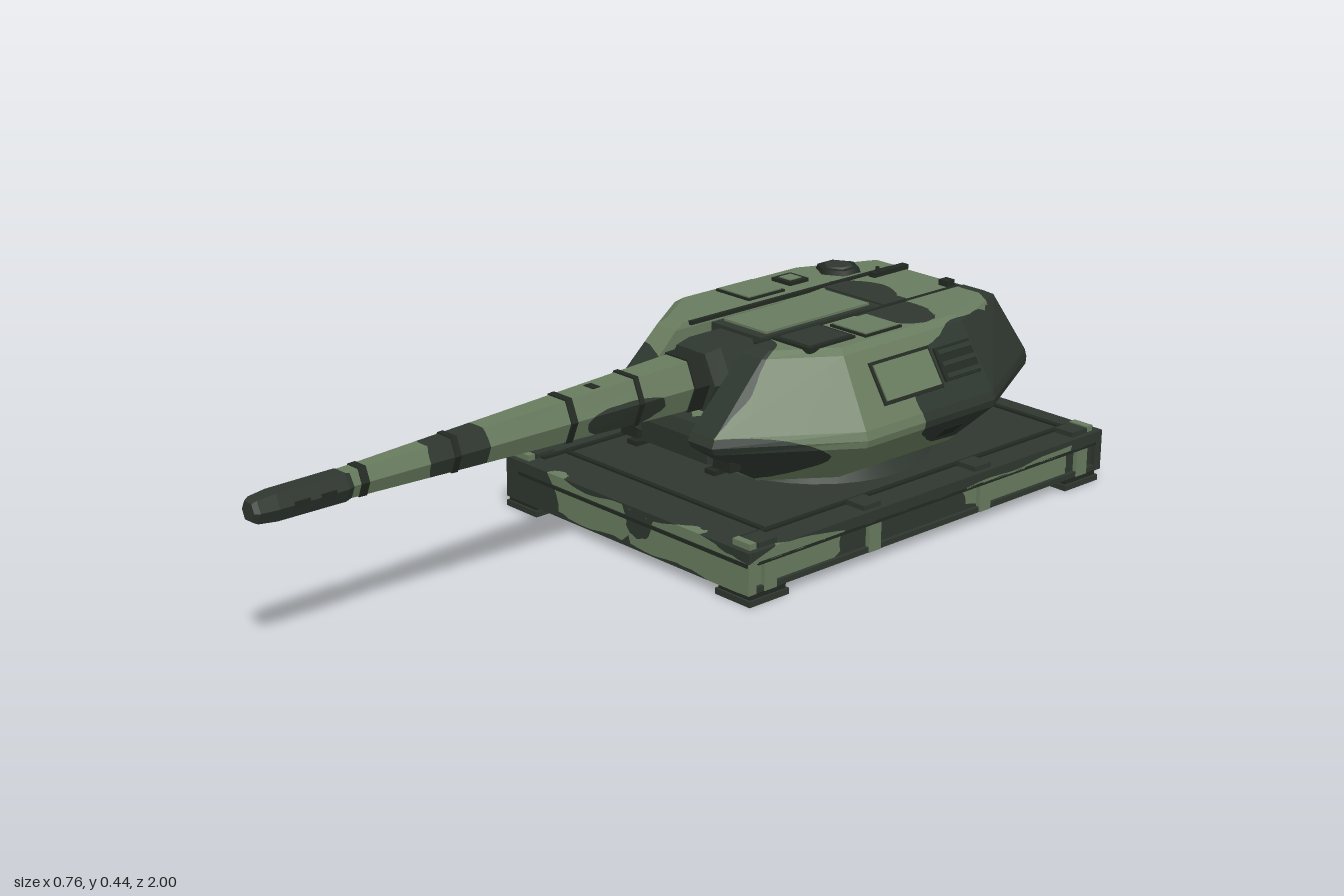
import * as THREE from 'three';

const light = new THREE.MeshStandardMaterial({ color: 0x687b5e });
light.name = 'light green';
const dark = new THREE.MeshStandardMaterial({ color: 0x2e372f });
dark.name = 'dark green';
const trim = new THREE.MeshStandardMaterial({ color: 0x222822 });
trim.name = 'near black trim';

// Camouflage patches as ellipsoids: x, y, z, rx, ry, rz
const turretDark = [
  [-0.16, 0.24, -0.05, 0.18, 0.15, 0.14], [0.11, 0.33, -0.1, 0.07, 0.17, 0.17],
  [0.24, 0.2, -0.04, 0.2, 0.075, 0.2], [0.36, 0.29, -0.7, 0.19, 0.17, 0.27],
  [0.14, 0.36, -0.93, 0.16, 0.2, 0.14], [0.12, 0.42, -0.56, 0.12, 0.05, 0.08],
  [-0.36, 0.25, -0.47, 0.14, 0.12, 0.15], [-0.28, 0.24, -0.86, 0.16, 0.16, 0.13],
  [-0.02, 0.42, -0.63, 0.09, 0.06, 0.07], [0.07, 0.23, -0.05, 0.06, 0.07, 0.1],
];
const barrelDark = [[0, 0.33, 0.53, 0.1, 0.08, 0.08], [0.07, 0.31, 0.12, 0.05, 0.05, 0.13]];
const baseDark = [
  [0, 0.14, -0.48, 0.6, 0.06, 0.7], [-0.4, 0.06, 0.1, 0.19, 0.12, 0.2], [0.4, 0.115, 0.1, 0.12, 0.025, 0.06],
  [0.38, 0.05, -0.36, 0.1, 0.1, 0.19], [0.3, 0.06, -1, 0.22, 0.12, 0.12], [-0.38, 0.06, -0.42, 0.1, 0.1, 0.2],
  [0, 0, -0.45, 0.7, 0.045, 0.75], [0.05, 0.075, 0.09, 0.04, 0.025, 0.03], [-0.2, 0.1, -1, 0.12, 0.04, 0.06],
];

function field(p, patches) {
  let best = -1e9;
  for (const [x, y, z, a, b, c] of patches) {
    best = Math.max(best, 1 - ((p.x - x) / a) ** 2 - ((p.y - y) / b) ** 2 - ((p.z - z) / c) ** 2);
  }
  return best + 0.12 * Math.sin(p.x * 31 + p.z * 23) * Math.cos(p.y * 37 - p.z * 13);
}

// Cuts a geometry along the patch outlines into a light and a dark group
function paint(name, source, patches) {
  const geo = source.index ? source.toNonIndexed() : source;
  const pos = geo.attributes.position;
  const sides = [[], []];
  const emit = (poly, k) => {
    for (let i = 1; i < poly.length - 1; i++) {
      for (const v of [poly[0], poly[i], poly[i + 1]]) sides[k].push(v.x, v.y, v.z);
    }
  };
  const split = (tri) => {
    const len = tri.map((v, i) => v.distanceTo(tri[(i + 1) % 3]));
    const m = len.indexOf(Math.max(...len));
    if (len[m] > 0.045) {
      const [a, b, c] = [tri[m], tri[(m + 1) % 3], tri[(m + 2) % 3]];
      const mid = a.clone().lerp(b, 0.5);
      split([a, mid, c]);
      split([mid, b, c]);
      return;
    }
    const f = tri.map((v) => field(v, patches));
    const parts = [[], []];
    tri.forEach((v, i) => {
      const j = (i + 1) % 3;
      parts[f[i] > 0 ? 1 : 0].push(v);
      if ((f[i] > 0) !== (f[j] > 0)) {
        const cut = v.clone().lerp(tri[j], f[i] / (f[i] - f[j]));
        parts[0].push(cut);
        parts[1].push(cut);
      }
    });
    parts.forEach(emit);
  };
  for (let i = 0; i < pos.count; i += 3) {
    split([0, 1, 2].map((k) => new THREE.Vector3().fromBufferAttribute(pos, i + k)));
  }
  const out = new THREE.BufferGeometry();
  out.setAttribute('position', new THREE.Float32BufferAttribute(sides[0].concat(sides[1]), 3));
  out.addGroup(0, sides[0].length / 3, 0);
  out.addGroup(sides[0].length / 3, sides[1].length / 3, 1);
  out.computeVertexNormals();
  const mesh = new THREE.Mesh(out, [light, dark]);
  mesh.name = name;
  return mesh;
}

// Closed flat-shaded loft through rings of [x, y, z]; winding is made outward
function loft(rings) {
  const tris = [], n = rings[0].length, last = rings.length - 1;
  for (let r = 0; r < last; r++) {
    for (let i = 0; i < n; i++) {
      const j = (i + 1) % n, [a, b, c, d] = [rings[r][i], rings[r][j], rings[r + 1][j], rings[r + 1][i]];
      tris.push([a, b, c], [a, c, d]);
    }
  }
  for (let i = 1; i < n - 1; i++) {
    tris.push([rings[0][0], rings[0][i + 1], rings[0][i]], [rings[last][0], rings[last][i], rings[last][i + 1]]);
  }
  const v = (p) => new THREE.Vector3(...p);
  const volume = tris.reduce((s, [a, b, c]) => s + v(a).dot(v(b).cross(v(c))), 0);
  if (volume < 0) tris.forEach((t) => t.reverse());
  const geo = new THREE.BufferGeometry();
  geo.setAttribute('position', new THREE.Float32BufferAttribute(tris.flat(2), 3));
  geo.computeVertexNormals();
  return geo;
}

const hexRing = ([z, y, w, h]) =>
  [[0.58, 1], [1, 0], [0.6, -1], [-0.6, -1], [-1, 0], [-0.58, 1]].map(([a, b]) => [a * w, y + b * h, z]);
const boxAt = (w, h, d, x, y, z) => new THREE.BoxGeometry(w, h, d).translate(x, y, z);

export function createModel() {
  const model = new THREE.Group();
  const add = (name, geo, mat, x = 0, y = 0, z = 0, rx = 0, rz = 0) => {
    const mesh = new THREE.Mesh(geo, mat);
    mesh.name = name;
    mesh.position.set(x, y, z);
    mesh.rotation.set(rx, 0, rz);
    model.add(mesh);
    return mesh;
  };
  const box = (name, mat, w, h, d, x, y, z, rx, rz) => add(name, new THREE.BoxGeometry(w, h, d), mat, x, y, z, rx, rz);

  // Platform with rails, posts, feet and deck fittings
  model.add(paint('platform', boxAt(0.735, 0.092, 1.08, 0, 0.069, -0.455), baseDark));
  for (const z of [0.08, -0.985]) {
    model.add(paint('endBeam', boxAt(0.755, 0.092, 0.022, 0, 0.069, z), baseDark));
    box('endRail', trim, 0.71, 0.008, 0.012, 0.02, 0.088, z + Math.sign(z) * 0.008);
  }
  for (const s of [-1, 1]) {
    model.add(paint('sideRail', boxAt(0.02, 0.026, 1.07, s * 0.369, 0.102, -0.455), baseDark));
    box('lowerSideRail', dark, 0.016, 0.012, 1.06, s * 0.368, 0.03, -0.455);
    box('rubRail', trim, 0.014, 0.007, 1.04, s * 0.372, 0.088, -0.455);
    for (const z of [0.03, -0.27, -0.61, -0.93]) {
      box('sidePost', light, 0.024, 0.066, 0.035, s * 0.366, 0.057, z);
      box('tieDown', dark, 0.05, 0.012, 0.05, s * 0.343, 0.12, z);
    }
    for (const z of [0.035, -0.93]) {
      box('foot', dark, 0.1, 0.013, 0.11, s * 0.33, 0.0065, z);
      box('footPad', trim, 0.09, 0.014, 0.1, s * 0.33, 0.018, z);
      box('cornerBracket', light, 0.05, 0.013, 0.018, s * 0.342, 0.122, z + Math.sign(z) * 0.035);
    }
    box('deckStrip', trim, 0.012, 0.006, 1.0, s * 0.31, 0.117, -0.455);
  }
  for (const z of [-0.02, -0.94]) box('deckCrossStrip', trim, 0.6, 0.006, 0.012, 0, 0.117, z);

  // Turret ring
  add('turretRing', new THREE.CylinderGeometry(0.235, 0.265, 0.03, 32), dark, 0, 0.128, -0.46);

  // Side pods: each level lists height, then x and z around the outside
  const levels = [
    [0.14, [0.1, -0.16, 0.14, -0.16, 0.24, -0.3, 0.24, -0.64, 0.16, -0.77, 0.1, -0.77]],
    [0.24, [0.1, -0.01, 0.17, -0.01, 0.346, -0.27, 0.346, -0.66, 0.2, -0.935, 0.1, -0.935]],
    [0.256, [0.1, 0, 0.172, 0, 0.35, -0.27, 0.35, -0.66, 0.2, -0.937, 0.1, -0.937]],
    [0.275, [0.1, -0.01, 0.17, -0.01, 0.344, -0.27, 0.344, -0.66, 0.2, -0.93, 0.1, -0.93]],
    [0.412, [0.1, -0.15, 0.16, -0.15, 0.256, -0.29, 0.256, -0.65, 0.17, -0.85, 0.1, -0.85]],
    [0.424, [0.104, -0.175, 0.155, -0.175, 0.238, -0.3, 0.238, -0.645, 0.16, -0.825, 0.104, -0.825]],
  ];
  for (const s of [-1, 1]) {
    const rings = levels.map(([y, p]) => [0, 2, 4, 6, 8, 10].map((i) => [s * p[i], y, p[i + 1]]));
    model.add(paint(s > 0 ? 'leftTurretPod' : 'rightTurretPod', loft(rings), turretDark));
    box('headlight', trim, 0.052, 0.022, 0.03, s * 0.143, 0.2, -0.07);
    box('lowerStep', trim, 0.03, 0.01, 0.07, s * 0.12, 0.182, -0.078);

    // Panels on the sloping sides
    const slope = s * 0.58;
    box('sidePanelFrame', trim, 0.008, 0.095, 0.18, s * 0.297, 0.347, -0.435, 0, slope);
    box('sidePanel', s > 0 ? light : dark, 0.008, 0.08, 0.165, s * 0.3, 0.349, -0.435, 0, slope);
    box('sideVent', trim, 0.01, 0.075, 0.11, s * 0.298, 0.347, -0.59, 0, slope);
    for (const k of [-1, 0, 1]) {
      box('ventSlat', dark, 0.006, 0.01, 0.1, s * (0.304 - k * 0.015), 0.35 + k * 0.022, -0.59, 0, slope);
    }
    box('lowerSideBox', trim, 0.025, 0.04, 0.06, s * 0.287, 0.2, -0.58, 0, -s * 0.8);

    // Roof panels
    box('roofPanelFrame', trim, 0.104, 0.006, 0.11, s * 0.175, 0.426, -0.44);
    box('roofPanel', light, 0.094, 0.007, 0.1, s * 0.175, 0.428, -0.44);
  }

  // Hull between the pods, with the gun slot in front
  const core = [[0.14, -0.16, -0.77], [0.18, -0.1, -0.85], [0.19, -0.055, -0.86], [0.24, -0.05, -0.935],
    [0.268, -0.06, -0.933], [0.272, -0.3, -0.93], [0.4, -0.32, -0.86], [0.42, -0.58, -0.83]];
  model.add(paint('centreHull', loft(core.map(([y, f, b]) =>
    [[-0.1, y, f], [0.1, y, f], [0.1, y, b], [-0.1, y, b]])), turretDark));
  box('frontSeam', trim, 0.19, 0.008, 0.01, 0, 0.181, -0.095);
  for (const s of [-1, 1]) box('slotEdge', trim, 0.01, 0.008, 0.62, s * 0.1, 0.421, -0.5);

  // Roof fittings
  box('gunCoverFrame', dark, 0.15, 0.02, 0.35, 0, 0.411, -0.405);
  box('gunCover', light, 0.128, 0.016, 0.31, 0, 0.418, -0.41);
  box('rearRoofPlate', dark, 0.18, 0.008, 0.07, 0, 0.42, -0.62);
  box('commanderPanelFrame', trim, 0.108, 0.012, 0.135, 0.16, 0.424, -0.3);
  box('commanderPanel', dark, 0.088, 0.014, 0.115, 0.16, 0.425, -0.3);
  add('hatchRim', new THREE.CylinderGeometry(0.048, 0.053, 0.014, 6), trim, -0.16, 0.428, -0.7);
  add('hatchLid', new THREE.CylinderGeometry(0.032, 0.036, 0.006, 6), dark, -0.16, 0.436, -0.7);
  box('sightFrame', trim, 0.058, 0.01, 0.058, -0.172, 0.427, -0.56);
  box('sightGlass', light, 0.035, 0.01, 0.035, -0.172, 0.429, -0.56);
  box('sensorBox', trim, 0.025, 0.014, 0.025, 0.072, 0.426, -0.805);
  box('roofRail', trim, 0.018, 0.012, 0.11, -0.08, 0.425, -0.78);
  add('aerialStub', new THREE.CylinderGeometry(0.004, 0.005, 0.03, 8), trim, -0.077, 0.428, -0.74);

  // Rear vent and flap
  box('rearVentFrame', trim, 0.2, 0.075, 0.014, 0, 0.335, -0.9, 0.48);
  for (const k of [-1, 0, 1]) {
    box('rearVentSlat', light, 0.18, 0.015, 0.012, 0, 0.337 + k * 0.022, -0.905 + k * 0.011, 0.48);
  }
  box('rearFlap', dark, 0.18, 0.016, 0.07, 0, 0.163, -0.865, 0.35);
  for (const s of [-1, 1]) box('flapArm', trim, 0.014, 0.055, 0.014, s * 0.07, 0.185, -0.85);

  // Gun cradle, barrel, bands and muzzle brake
  const steps = [[-0.42, 0.086, 0.07], [-0.14, 0.083, 0.07], [-0.1, 0.074, 0.063]];
  add('gunCradle', loft(steps.map(([z, w, h]) => hexRing([z, 0.343, w, h]))), dark);
  const barrelAt = (z, grow = 1) => {
    const t = (z + 0.3) / 1.1;
    return hexRing([z, 0.345 - 0.01 * t, (0.063 - 0.037 * t) * grow, (0.061 - 0.035 * t) * grow]);
  };
  model.add(paint('barrel', loft([-0.3, 0, 0.26, 0.55, 0.8].map((z) => barrelAt(z))), barrelDark));
  for (const [z, w] of [[-0.08, 0.04], [0.08, 0.012], [0.255, 0.016], [0.54, 0.014], [0.755, 0.018]]) {
    add('barrelBand', loft([barrelAt(z - w / 2, 1.07), barrelAt(z + w / 2, 1.07)]), trim);
  }
  box('barrelTopLug', trim, 0.03, 0.01, 0.02, 0, 0.383, 0.17);
  const muzzle = [[0.78, 0.027, 0.025], [0.795, 0.032, 0.028], [0.95, 0.031, 0.027], [0.99, 0.026, 0.023], [1, 0.02, 0.018]];
  add('muzzleBrake', loft(muzzle.map(([z, w, h]) => hexRing([z, 0.334, w, h]))), dark);
  for (const s of [-1, 1]) {
    for (const z of [0.84, 0.9]) box('muzzleVent', trim, 0.008, 0.012, 0.035, s * 0.028, 0.334, z);
  }
  return model;
}
